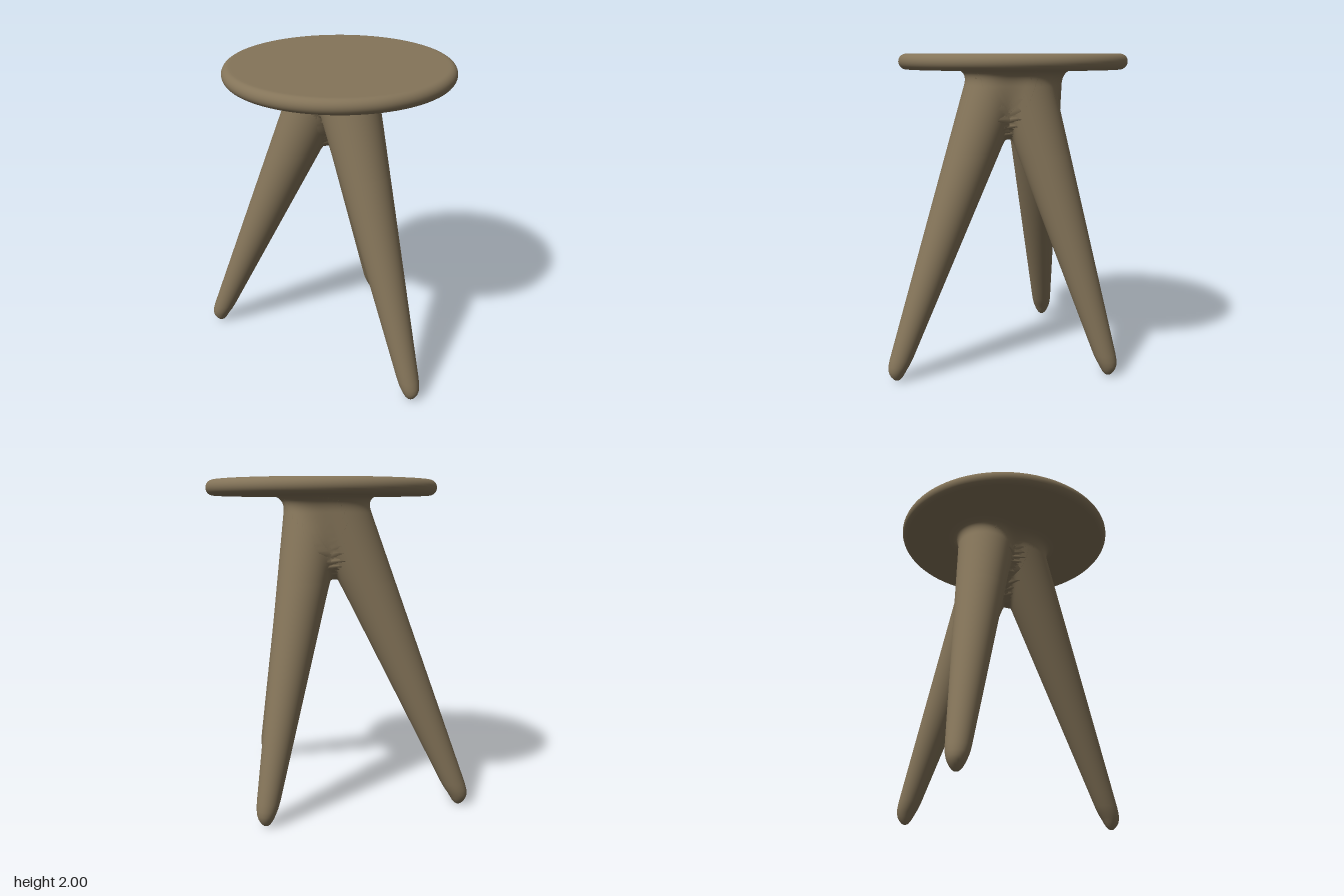
import * as THREE from 'three';

const SEAT_BOTTOM = 1.905;

// Each leg axis runs from foot (y = 0.1) to top (y = 1.8): [x, z]
const LEGS = [
  { name: 'frontLeg', foot: [0.177, 0.722], top: [0.04, 0.04] },
  { name: 'backRightLeg', foot: [-0.68, -0.585], top: [-0.02, -0.23] },
  { name: 'backLeftLeg', foot: [0.52, -0.535], top: [0.095, -0.125] },
];

// Smooth minimum, used to blend the parts into each other
function smin(a, b, k) {
  const h = Math.max(k - Math.abs(a - b), 0) / k;
  return Math.min(a, b) - h * h * k * 0.25;
}

// Leg axis position at a height; the tip drops straight down
function axisAt(leg, y) {
  const t = (Math.max(y, 0.06) - 0.1) / 1.7;
  return [0, 1].map((i) => leg.foot[i] + (leg.top[i] - leg.foot[i]) * t);
}

// Leg radius at a height: a steady taper with a rounded foot
function radiusAt(y) {
  const r = 0.065 + 0.072 * (y - 0.1);
  const u = Math.max(0, 1 - y / 0.14);
  return r * Math.sqrt(Math.max(0, 1 - u * u));
}

// Distance from a point to the slanted, tapered leg
function legDistance(leg, x, y, z) {
  const [cx, cz] = axisAt(leg, y);
  const sx = (leg.top[0] - leg.foot[0]) / 1.7;
  const sz = (leg.top[1] - leg.foot[1]) / 1.7;
  const dx = x - cx, dz = z - cz;
  const along = (dx * sx + dz * sz) ** 2 / (1 + sx * sx + sz * sz);
  return Math.sqrt(Math.max(0, dx * dx + dz * dz - along)) - radiusAt(y);
}

// All legs blended together and flared into the seat
function bodyDistance(x, y, z) {
  const d = LEGS.map((leg) => legDistance(leg, x, y, z));
  const legs = smin(smin(d[0], d[1], 0.05), d[2], 0.07);
  return smin(legs, SEAT_BOTTOM - y + 0.002, 0.1);
}

// Stack of horizontal rings, each point pushed out to the blended surface
function legGeometry(leg) {
  const sides = 64;
  const heights = [0.004, 0.012, 0.025, 0.045, 0.07, 0.1, 0.14];
  for (let y = 0.22; y < 1.4; y += 0.09) heights.push(y);
  for (let y = 1.4; y < 1.8; y += 0.015) heights.push(y);
  for (let y = 1.8; y < SEAT_BOTTOM; y += 0.0075) heights.push(y);
  heights.push(SEAT_BOTTOM);

  const positions = [];
  const index = [];
  heights.forEach((y) => {
    const [cx, cz] = axisAt(leg, y);
    const limit = radiusAt(y) * 1.1 + 0.1;
    for (let j = 0; j < sides; j++) {
      const a = (j / sides) * Math.PI * 2;
      const c = Math.cos(a), s = Math.sin(a);
      const f = (r) => bodyDistance(cx + c * r, y, cz + s * r);
      let lo = 0, hi = 0;
      while (hi < limit && f(hi) < 0) {
        lo = hi;
        hi += 0.01;
      }
      for (let n = 0; n < 12; n++) {
        const mid = (lo + hi) / 2;
        if (f(mid) < 0) lo = mid;
        else hi = mid;
      }
      positions.push(cx + c * lo, y, cz + s * lo);
    }
  });
  for (let i = 0; i < heights.length - 1; i++) {
    for (let j = 0; j < sides; j++) {
      const a = i * sides + j, b = i * sides + ((j + 1) % sides);
      index.push(a, a + sides, b, a + sides, b + sides, b);
    }
  }
  // Close the tip of the foot
  const [tx, tz] = axisAt(leg, 0);
  const tip = positions.length / 3;
  positions.push(tx, 0, tz);
  for (let j = 0; j < sides; j++) index.push(tip, j, (j + 1) % sides);

  const geometry = new THREE.BufferGeometry();
  geometry.setAttribute('position', new THREE.Float32BufferAttribute(positions, 3));
  geometry.setIndex(index);
  geometry.computeVertexNormals();
  return geometry;
}

// Round disc with a half-round rim
function seatGeometry() {
  const radius = 0.71, half = (2 - SEAT_BOTTOM) / 2, mid = SEAT_BOTTOM + half;
  const inner = radius - half;
  const profile = [new THREE.Vector2(0, SEAT_BOTTOM), new THREE.Vector2(inner - 0.02, SEAT_BOTTOM)];
  for (let i = 0; i <= 14; i++) {
    const a = -Math.PI / 2 + (i / 14) * Math.PI;
    profile.push(new THREE.Vector2(inner + Math.cos(a) * half, mid + Math.sin(a) * half));
  }
  profile.push(new THREE.Vector2(inner - 0.02, 2), new THREE.Vector2(0, 2));
  return new THREE.LatheGeometry(profile, 96);
}

export function createModel() {
  const model = new THREE.Group();
  model.name = 'stool';
  const wood = new THREE.MeshStandardMaterial({ color: 0x847459 });
  wood.name = 'brown wood';

  const seat = new THREE.Mesh(seatGeometry(), wood);
  seat.name = 'seat';
  seat.position.set(0.035, 0, -0.075);
  model.add(seat);

  LEGS.forEach((leg) => {
    const mesh = new THREE.Mesh(legGeometry(leg), wood);
    mesh.name = leg.name;
    model.add(mesh);
  });
  return model;
}
